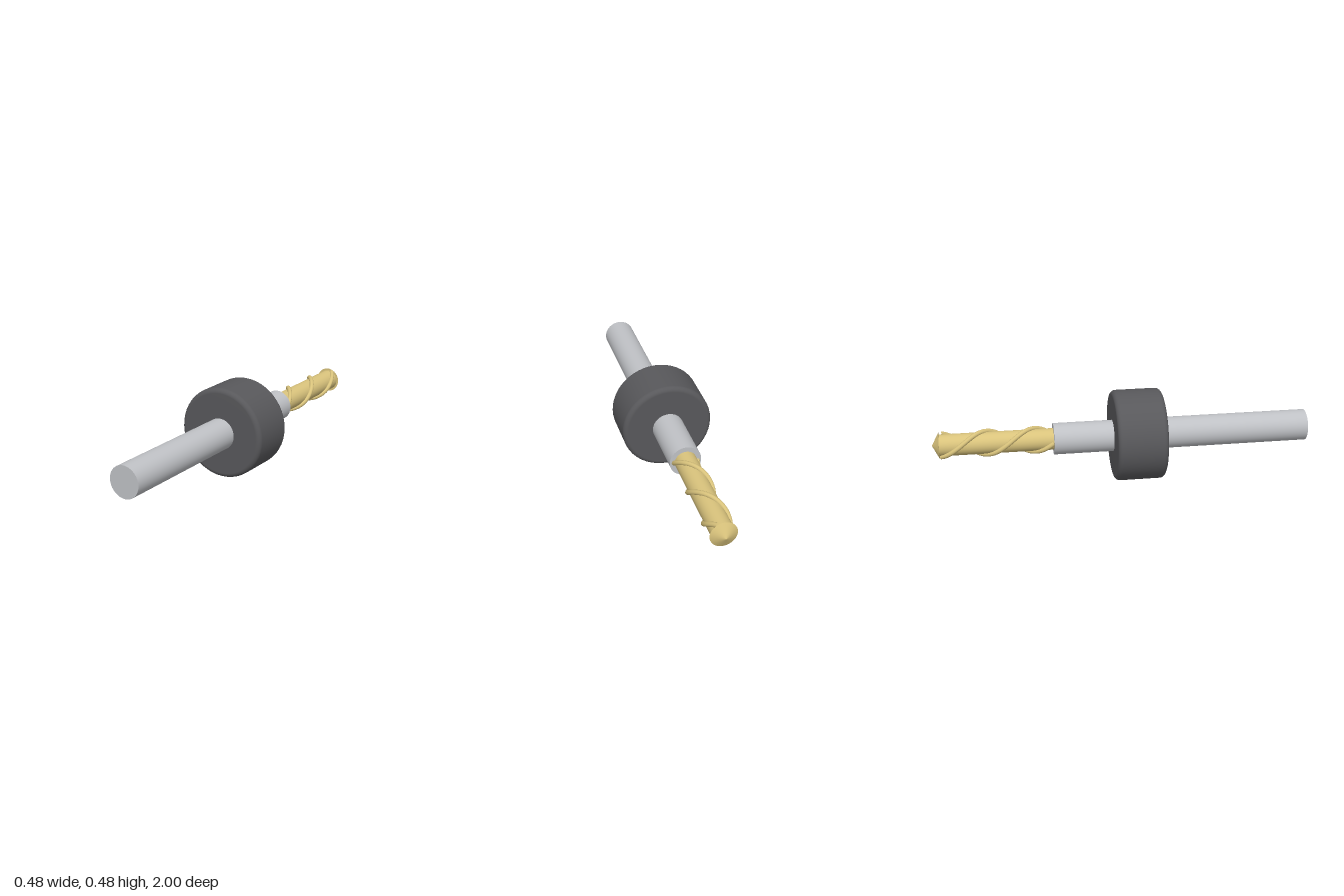
import * as THREE from 'three';

const AXIS_Y = 0.242; // height of the tool axis

export function createModel() {
  const group = new THREE.Group();
  const steel = new THREE.MeshStandardMaterial({ color: 0xbfc1c5 });
  steel.name = 'steel';
  const darkGrey = new THREE.MeshStandardMaterial({ color: 0x58585b });
  darkGrey.name = 'dark grey';
  const gold = new THREE.MeshStandardMaterial({ color: 0xd9c37c });
  gold.name = 'gold';

  const add = (name, geometry, material) => {
    const mesh = new THREE.Mesh(geometry, material);
    mesh.name = name;
    mesh.position.y = AXIS_Y;
    group.add(mesh);
  };
  // Cylinder along z; rBack is the radius at the -z end
  const rod = (rFront, rBack, zFront, zBack) =>
    new THREE.CylinderGeometry(rFront, rBack, zFront - zBack, 48)
      .rotateX(Math.PI / 2)
      .translate(0, 0, (zFront + zBack) / 2);

  // Shank
  add('shank', rod(0.083, 0.083, 1, -0.368), steel);

  // Depth collar: rounded ring turned around the shank
  const R = 0.241, b = 0.025, z0 = -0.053, z1 = 0.211;
  const profile = [new THREE.Vector2(0.08, z0)];
  for (const [cz, start] of [[z0 + b, -Math.PI / 2], [z1 - b, 0]]) {
    for (let i = 0; i <= 6; i++) {
      const a = start + (i / 6) * Math.PI / 2;
      profile.push(new THREE.Vector2(R - b + b * Math.cos(a), cz + b * Math.sin(a)));
    }
  }
  profile.push(new THREE.Vector2(0.08, z1));
  add('collar', new THREE.LatheGeometry(profile, 48).rotateX(Math.PI / 2), darkGrey);

  // Drill core and pointed tip
  add('drillCore', rod(0.057, 0.057, -0.36, -0.965), gold);
  add('drillTip', rod(0.069, 0, -0.963, -1), gold);

  // Two spiral ridges, half a turn apart
  const zStart = -0.368, zEnd = -0.955, pitch = 0.5, r = 0.061;
  for (const [name, phase] of [['spiralRidgeA', 0], ['spiralRidgeB', Math.PI]]) {
    const points = [];
    for (let i = 0; i <= 48; i++) {
      const z = zStart + (zEnd - zStart) * i / 48;
      const a = phase + (zStart - z) / pitch * Math.PI * 2;
      points.push(new THREE.Vector3(r * Math.cos(a), r * Math.sin(a), z));
    }
    const path = new THREE.CatmullRomCurve3(points);
    add(name, new THREE.TubeGeometry(path, 96, 0.0125, 10), gold);
  }

  return group;
}
